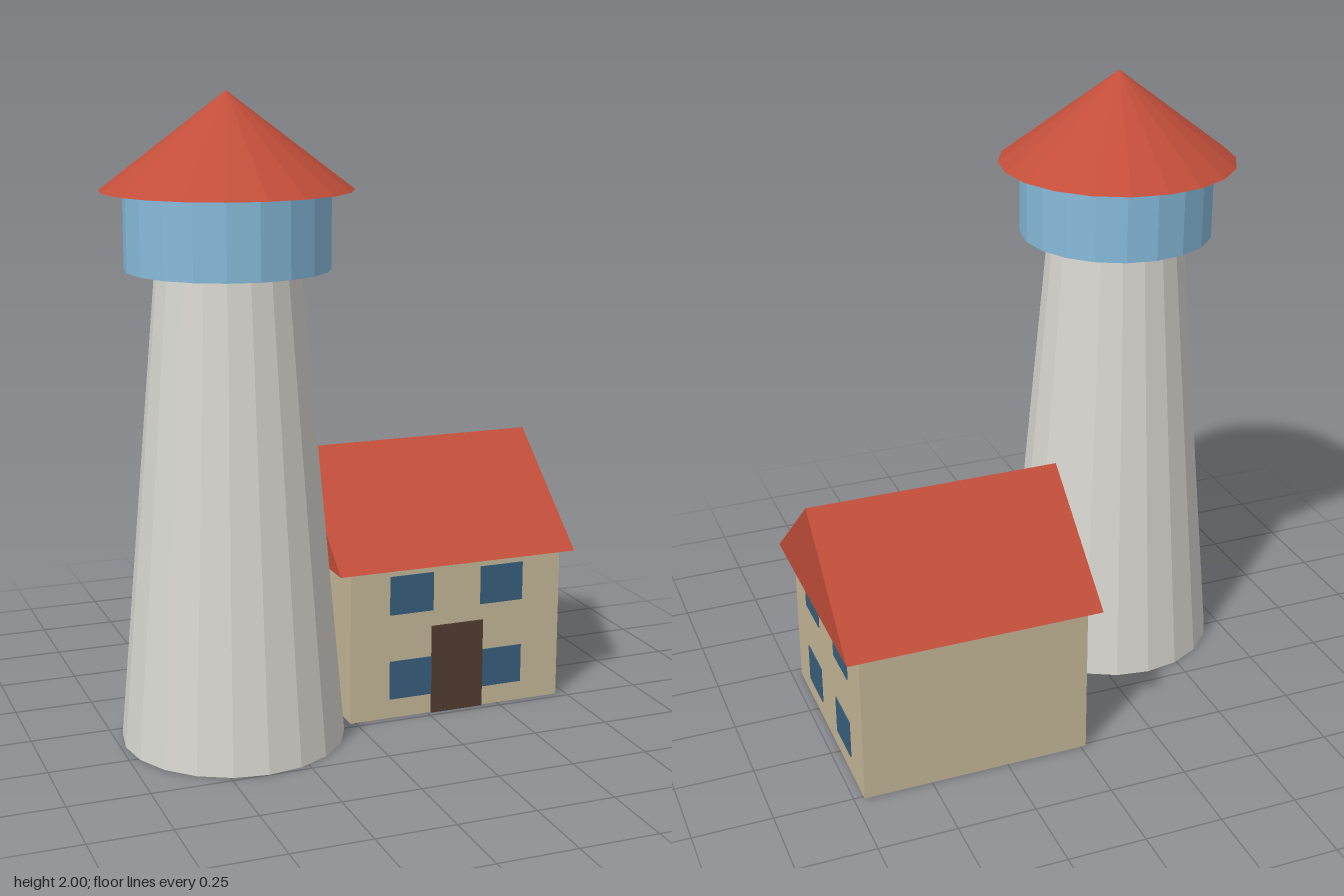
import * as THREE from 'three';

const material = (name, color) => {
  const m = new THREE.MeshStandardMaterial({ color });
  m.name = name;
  m.flatShading = true;
  return m;
};

export function createModel() {
  const stone = material('tower stone', 0xd8d7d0);
  const blue = material('lantern blue', 0x87bbdb);
  const red = material('roof red', 0xc24e3a);
  const beige = material('wall beige', 0xc6b798);
  const glass = material('window blue', 0x38607e);
  const wood = material('door brown', 0x523d31);

  const model = new THREE.Group();
  model.name = 'lighthouseWithCottage';

  const add = (parent, name, geometry, mat, x, y, z) => {
    const mesh = new THREE.Mesh(geometry, mat);
    mesh.name = name;
    mesh.position.set(x, y, z);
    parent.add(mesh);
    return mesh;
  };

  // Lighthouse: tapered tower, lantern room and cone roof
  const lighthouse = new THREE.Group();
  lighthouse.name = 'lighthouse';
  lighthouse.position.set(-0.385, 0, 0.15);
  model.add(lighthouse);
  const SIDES = 20;
  const drum = (name, top, bottom, y0, y1, mat) =>
    add(lighthouse, name, new THREE.CylinderGeometry(top, bottom, y1 - y0, SIDES), mat, 0, (y0 + y1) / 2, 0);
  drum('tower', 0.22, 0.35, 0, 1.475, stone);
  drum('lanternRoom', 0.31, 0.31, 1.475, 1.71, blue);
  add(lighthouse, 'towerRoof', new THREE.ConeGeometry(0.38, 0.29, SIDES), red, 0, 1.855, 0);

  // Cottage, centred on its own origin
  const cottage = new THREE.Group();
  cottage.name = 'cottage';
  cottage.position.set(0.35, 0, -0.143);
  model.add(cottage);
  const W = 0.735, H = 0.5, D = 0.735;
  add(cottage, 'walls', new THREE.BoxGeometry(W, H, D), beige, 0, H / 2, 0);

  // Gable roof: triangle extruded along x
  const gable = new THREE.Shape([
    new THREE.Vector2(-0.39, 0),
    new THREE.Vector2(0.39, 0),
    new THREE.Vector2(0, 0.33),
  ]);
  const roofGeometry = new THREE.ExtrudeGeometry(gable, { depth: 0.82, bevelEnabled: false });
  roofGeometry.translate(0, 0, -0.41).rotateY(Math.PI / 2);
  add(cottage, 'cottageRoof', roofGeometry, red, 0, H, 0);

  // Thin windows on the front and the +x gable wall, two by two
  const T = 0.006;
  for (const y of [0.128, 0.412]) {
    for (const s of [-1, 1]) {
      add(cottage, 'frontWindow', new THREE.BoxGeometry(0.15, 0.128, T), glass, s * 0.158, y, D / 2);
      add(cottage, 'sideWindow', new THREE.BoxGeometry(T, 0.128, 0.15), glass, W / 2, y, s * 0.159);
    }
  }

  // Door, slightly proud of the windows it overlaps
  add(cottage, 'door', new THREE.BoxGeometry(0.18, 0.295, 0.009), wood, 0.002, 0.1475, D / 2 + 0.002);

  return model;
}
